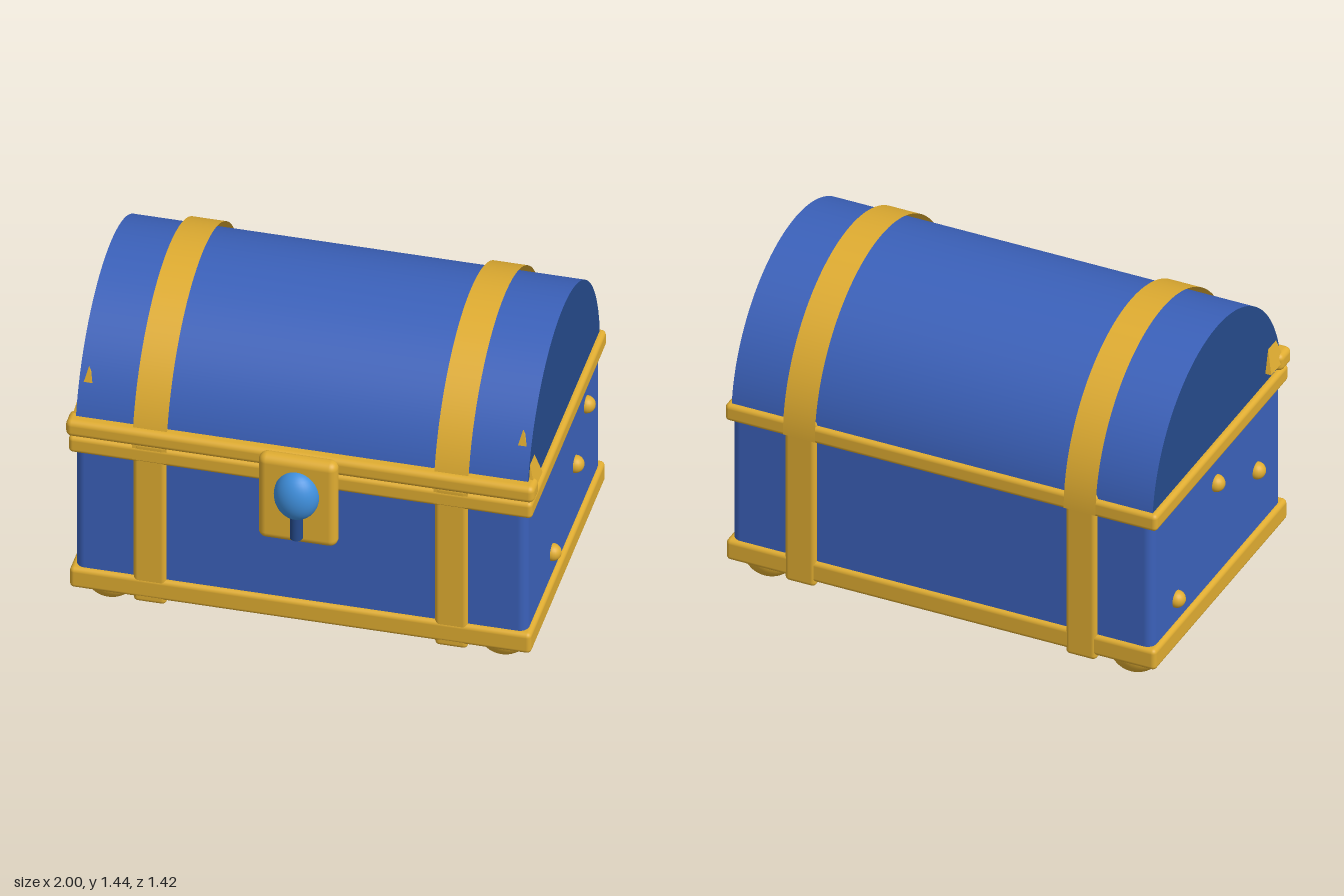
import * as THREE from 'three';
import { RoundedBoxGeometry } from 'three/addons/geometries/RoundedBoxGeometry.js';

function mat(name, color, side = THREE.FrontSide) {
  const m = new THREE.MeshStandardMaterial({ color, side });
  m.name = name;
  return m;
}

export function createModel() {
  const chest = new THREE.Group();
  chest.name = 'treasureChest';
  const blue = mat('royal blue', 0x3b61ba);
  const navy = mat('dark blue', 0x254a8b);
  const sky = mat('bright blue', 0x3f8fdc);
  const gold = mat('gold', 0xdfac31, THREE.DoubleSide);

  function add(name, geometry, material, x = 0, y = 0, z = 0) {
    const mesh = new THREE.Mesh(geometry, material);
    mesh.name = name;
    mesh.position.set(x, y, z);
    chest.add(mesh);
    return mesh;
  }
  // Rounded box given by its min and max on each axis
  function block(name, material, [x0, x1], [y0, y1], [z0, z1], r) {
    return add(name, new RoundedBoxGeometry(x1 - x0, y1 - y0, z1 - z0, 4, r), material,
      (x0 + x1) / 2, (y0 + y1) / 2, (z0 + z1) / 2);
  }
  // Upper half of a cylinder lying along x
  function halfBarrel(r, length, open) {
    return new THREE.CylinderGeometry(r, r, length, 64, 1, open, 0, Math.PI).rotateZ(Math.PI / 2);
  }

  // Box and arched lid
  block('body', blue, [-0.96, 0.96], [0.098, 0.862], [-0.68, 0.56], 0.04);
  add('lid', halfBarrel(0.62, 1.92, false), [blue, navy, navy], 0, 0.8, -0.06);

  // Gold rims around the box and along the lid's front edge
  block('baseRim', gold, [-0.98, 0.98], [0.1, 0.2], [-0.697, 0.58], 0.02);
  block('bodyRim', gold, [-0.985, 0.985], [0.785, 0.866], [-0.697, 0.58], 0.02);
  block('lidRim', gold, [-0.995, 0.995], [0.87, 0.95], [0.49, 0.59], 0.025);

  for (const s of [-1, 1]) {
    // Straps around the box and over the lid
    const x = s * 0.64;
    block('bodyStrap', gold, [x - 0.07, x + 0.07], [0.077, 0.885], [-0.701, 0.578], 0.02);
    add('lidStrap', halfBarrel(0.643, 0.145, true), gold, x, 0.8, -0.063);

    // Ball feet
    for (const z of [0.43, -0.56]) {
      add('foot', new THREE.SphereGeometry(0.115, 32, 20), gold, s * 0.835, 0.11, z)
        .scale.set(1.02, 0.957, 0.97);
    }

    // Four-sided spikes in the lid's front corners
    const spike = new THREE.ConeGeometry(0.092, 0.25, 4).toNonIndexed().rotateY(Math.PI / 4);
    spike.computeVertexNormals();
    add('cornerSpike', spike, gold, s * 0.922, 1.035, 0.47);
  }

  // Studs on the ends, as [side, y, z]
  const studs = [
    [1, 0.655, -0.445], [1, 0.485, -0.255], [1, 0.31, 0.135],
    [-1, 0.31, -0.45], [-1, 0.655, -0.07], [-1, 0.485, 0.32],
  ];
  for (const [s, y, z] of studs) {
    add('stud', new THREE.SphereGeometry(0.038, 20, 14), gold, s * 0.962, y, z);
  }

  // Lock plate with a jewel and stem
  block('lockPlate', gold, [-0.168, 0.168], [0.53, 0.95], [0.56, 0.635], 0.035);
  add('lockJewel', new THREE.SphereGeometry(1, 32, 20), sky, 0, 0.78, 0.63)
    .scale.set(0.096, 0.115, 0.082);
  add('lockStem', new THREE.CylinderGeometry(0.027, 0.027, 0.13, 20), navy, 0, 0.632, 0.638);

  return chest;
}
